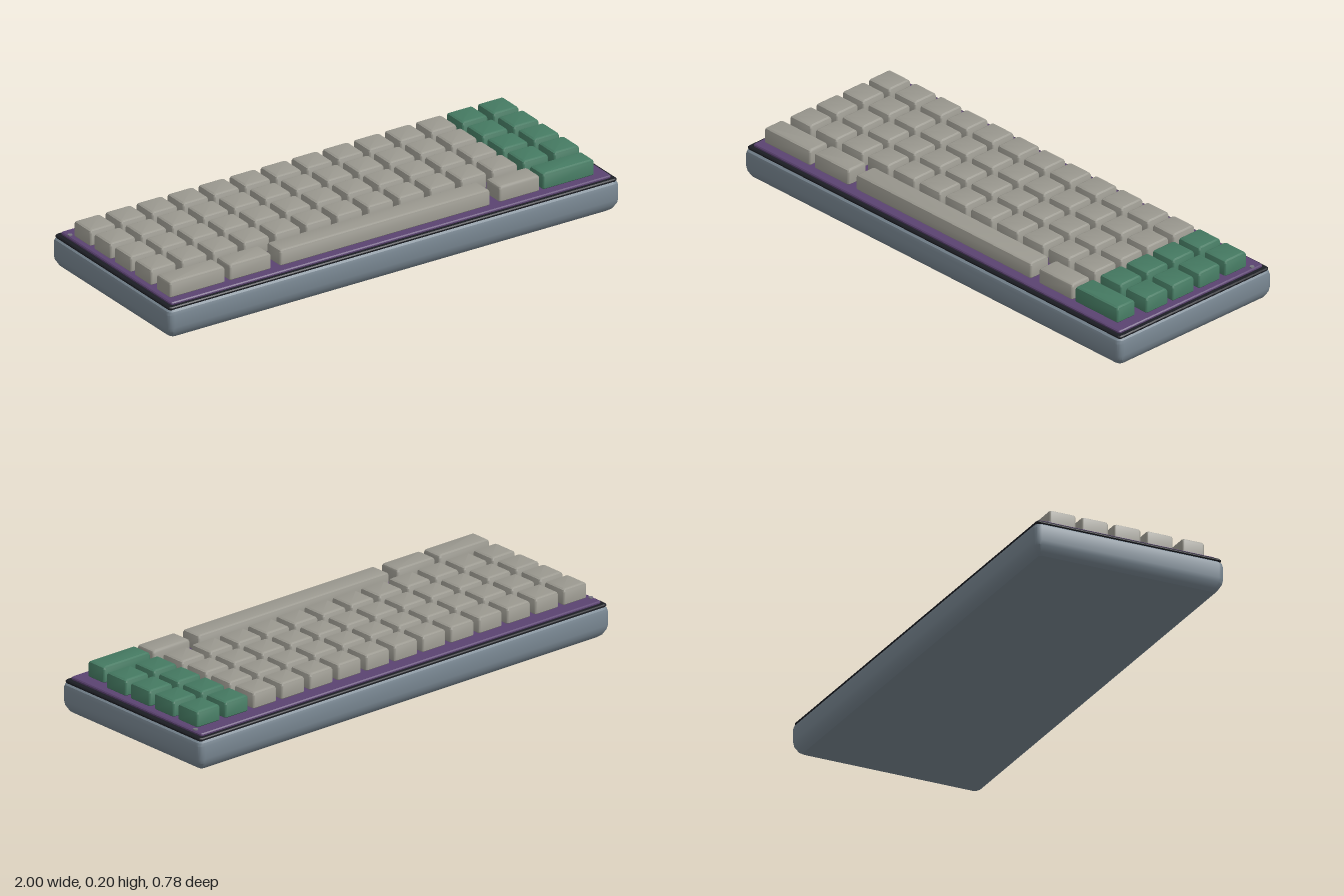
import * as THREE from 'three';
import { toCreasedNormals } from 'three/addons/utils/BufferGeometryUtils.js';

const mat = (color) => new THREE.MeshStandardMaterial({ color });
const SEG = 4; // steps per rounded corner

// Stacked rounded rectangles: each ring is [y, inset, cornerRadius], bottom to top
function roundedStack(width, depth, rings) {
  const pos = [], idx = [];
  const n = 4 * (SEG + 1);
  for (const [y, inset, r] of rings) {
    const hx = width / 2 - inset - r, hz = depth / 2 - inset - r;
    for (let c = 0; c < 4; c++) {
      const sx = c === 0 || c === 3 ? 1 : -1, sz = c < 2 ? -1 : 1;
      for (let s = 0; s <= SEG; s++) {
        const a = (c + s / SEG) * Math.PI / 2;
        pos.push(sx * hx + r * Math.cos(a), y, sz * hz - r * Math.sin(a));
      }
    }
  }
  for (let k = 0; k < rings.length - 1; k++) {
    for (let i = 0; i < n; i++) {
      const a = k * n + i, b = k * n + (i + 1) % n;
      idx.push(a, b, b + n, a, b + n, a + n);
    }
  }
  const top = (rings.length - 1) * n;
  for (let i = 1; i < n - 1; i++) {
    idx.push(0, i + 1, i); // bottom cap
    idx.push(top, top + i, top + i + 1); // top cap
  }
  const g = new THREE.BufferGeometry();
  g.setAttribute('position', new THREE.Float32BufferAttribute(pos, 3));
  g.setIndex(idx);
  return toCreasedNormals(g, 0.5);
}

export function createModel() {
  const group = new THREE.Group();
  const add = (name, geometry, material, x = 0, y = 0, z = 0) => {
    const m = new THREE.Mesh(geometry, material);
    m.name = name;
    m.position.set(x, y, z);
    group.add(m);
  };
  const caseMat = mat(0x788691), rimMat = mat(0x1c1e24), plateMat = mat(0x5b4371);
  const keyMat = mat(0x9b9990), accentMat = mat(0x457a62), screwMat = mat(0x777580);

  // Chamfered case
  add('case', roundedStack(2, 0.78, [
    [0, 0.03, 0.015], [0.01, 0.016, 0.02], [0.032, 0.003, 0.025], [0.05, 0, 0.025],
    [0.1, 0, 0.025], [0.113, 0.004, 0.022], [0.12, 0.012, 0.02],
  ]), caseMat);

  // Dark rim and coloured switch plate
  add('rim', roundedStack(1.986, 0.762, [
    [0.118, 0.004, 0.012], [0.123, 0, 0.014], [0.127, 0, 0.014], [0.131, 0.004, 0.012],
  ]), rimMat);
  add('switchPlate', roundedStack(1.95, 0.732, [
    [0.129, 0.003, 0.008], [0.133, 0, 0.01], [0.138, 0, 0.01], [0.142, 0.004, 0.008],
  ]), plateMat);

  // Small screws in the rear corners
  for (const s of [-1, 1]) {
    add('screw', new THREE.CylinderGeometry(0.009, 0.009, 0.006, 12), screwMat, s * 0.963, 0.143, -0.32);
  }

  // Keycaps
  const cap = (w, d) => roundedStack(w, d, [
    [0, 0.004, 0.006], [0.005, 0, 0.009], [0.053, 0, 0.009],
    [0.06, 0.003, 0.008], [0.064, 0.01, 0.005],
  ]);
  const keyY = 0.14;
  const squareCap = cap(0.114, 0.11);
  for (const z of [-0.255, -0.122, 0.0115, 0.145]) {
    for (let c = 0; c < 14; c++) {
      const accent = c >= 12;
      add(accent ? 'accentKey' : 'key', squareCap, accent ? accentMat : keyMat, -0.897 + c * 0.1374, keyY, z);
    }
  }

  // Bottom row of wide keys: name, left edge, right edge, material
  for (const [name, x0, x1, m] of [
    ['wideKey', -0.955, -0.71, keyMat],
    ['modifierKey', -0.69, -0.505, keyMat],
    ['spaceBar', -0.467, 0.464, keyMat],
    ['modifierKey', 0.504, 0.684, keyMat],
    ['wideAccentKey', 0.697, 0.925, accentMat],
  ]) {
    add(name, cap(x1 - x0, 0.092), m, (x0 + x1) / 2, keyY, 0.282);
  }
  return group;
}
